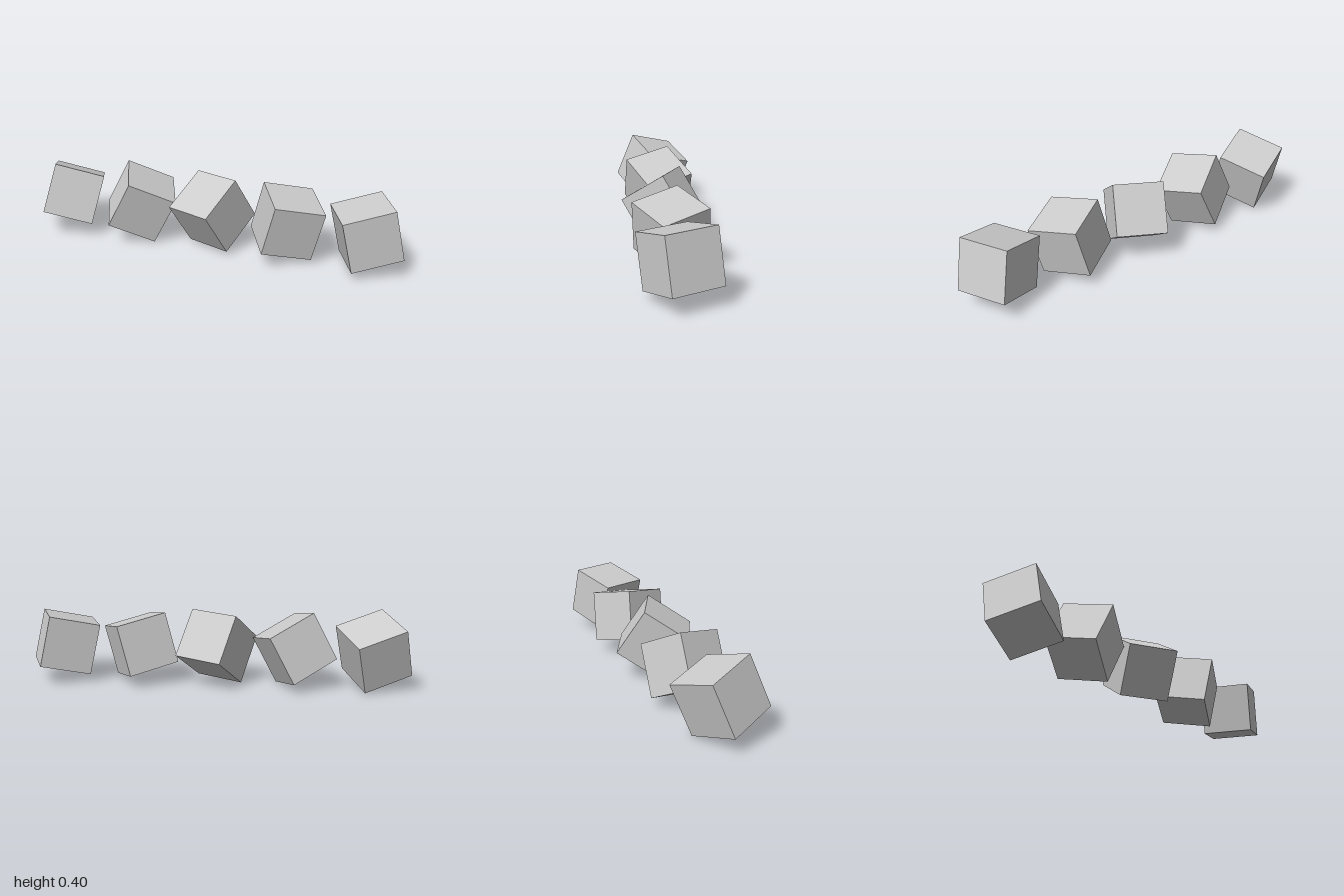
import * as THREE from 'three';

const EDGE = 0.265;
const SPACING = 0.403;
const HEIGHT = 0.201;

// two edge directions of each tumbled cube, from the -x end to the +x end
const TILTS = [
  [[0.235, -0.075, -0.097], [0.037, 0.246, -0.092]],
  [[0.107, -0.048, 0.235], [0.208, -0.112, -0.118]],
  [[-0.241, -0.011, -0.11], [0.086, 0.144, -0.205]],
  [[0.123, -0.043, 0.225], [0.219, -0.053, -0.134]],
  [[0.235, 0.059, -0.108], [0.048, -0.257, -0.026]],
];

// rotation whose x axis follows a, and whose y axis lies in the plane of a and b
function tilt([a, b]) {
  const x = new THREE.Vector3(...a).normalize();
  const z = new THREE.Vector3().crossVectors(x, new THREE.Vector3(...b)).normalize();
  const y = new THREE.Vector3().crossVectors(z, x);
  return new THREE.Matrix4().makeBasis(x, y, z);
}

export function createModel() {
  const group = new THREE.Group();
  group.name = 'cubeRow';
  const grey = new THREE.MeshStandardMaterial({ color: 0xcccccc });
  grey.name = 'light grey';
  const geometry = new THREE.BoxGeometry(EDGE, EDGE, EDGE);

  // five cubes in a row, each turned its own way
  TILTS.forEach((axes, i) => {
    const cube = new THREE.Mesh(geometry, grey);
    cube.name = `cube${i + 1}`;
    cube.quaternion.setFromRotationMatrix(tilt(axes));
    cube.position.set((i - 2) * SPACING, HEIGHT, 0);
    group.add(cube);
  });
  return group;
}
